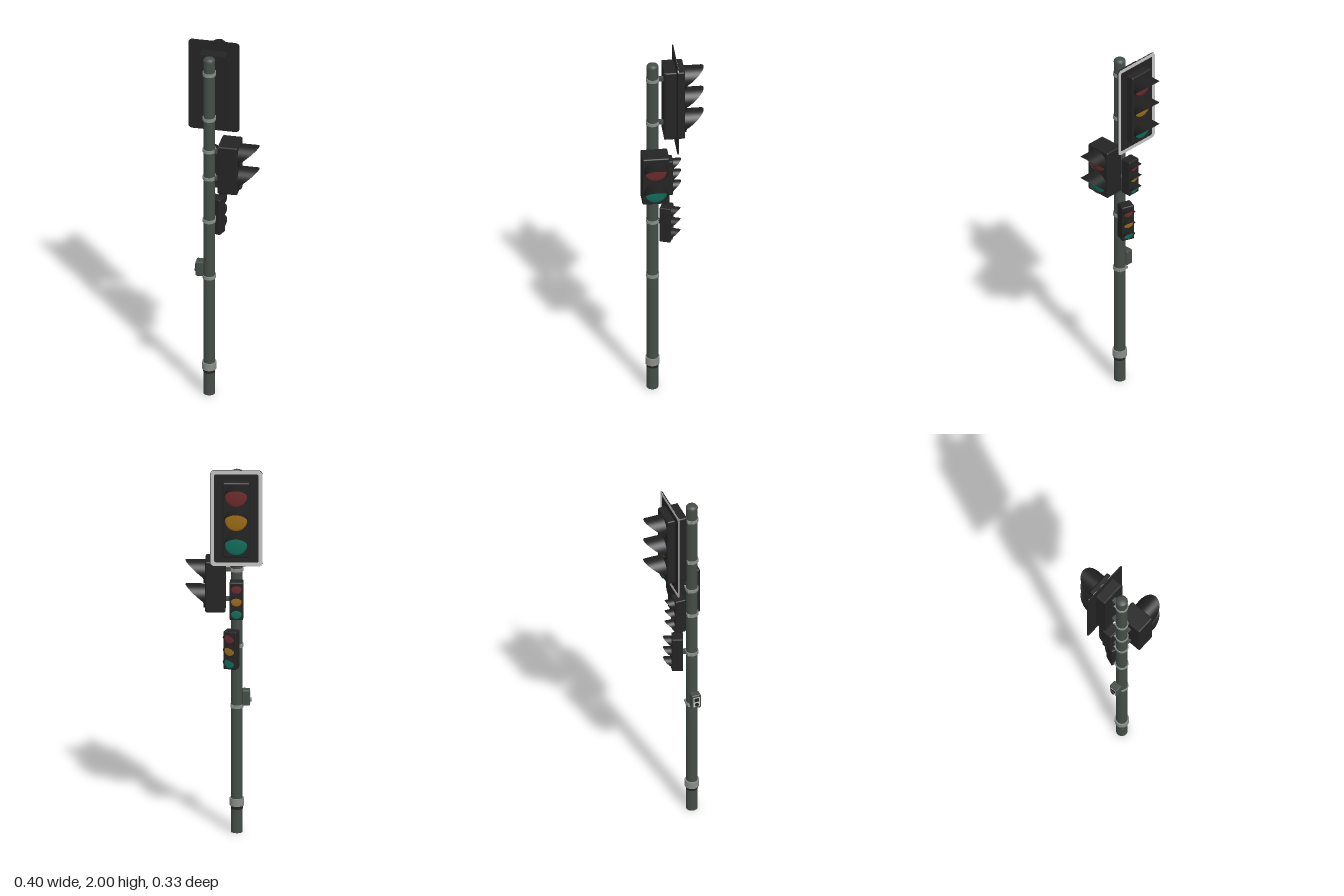
import * as THREE from 'three';
import { RoundedBoxGeometry } from 'three/addons/geometries/RoundedBoxGeometry.js';

const paint = (name, color, side = THREE.FrontSide) => {
  const m = new THREE.MeshStandardMaterial({ color, side });
  m.name = name;
  return m;
};

export function createModel() {
  const mats = {
    pole: paint('poleGreyGreen', 0x454d47),
    housing: paint('housingBlack', 0x242424),
    visor: paint('visorBlack', 0x1f1f20, THREE.DoubleSide),
    metal: paint('clampGrey', 0x8a8d8a),
    border: paint('borderWhite', 0xc4c4c4),
    red: paint('lensRed', 0x6b2a2c),
    amber: paint('lensAmber', 0x9a6a14),
    green: paint('lensGreen', 0x0f6b5a),
  };

  const model = new THREE.Group();
  model.name = 'trafficSignal';
  // everything is placed around the pole axis
  const root = new THREE.Group();
  root.name = 'signalPost';
  root.position.set(-0.065, 0, 0.097);
  model.add(root);

  const add = (parent, name, geo, mat, x = 0, y = 0, z = 0) => {
    const mesh = new THREE.Mesh(geo, mat);
    mesh.name = name;
    mesh.position.set(x, y, z);
    parent.add(mesh);
    return mesh;
  };

  // pole with a domed cap
  const profile = [[0, 0], [0.03, 0], [0.03, 1.945], [0.031, 1.945], [0.031, 1.952],
    [0.026, 1.96], [0.014, 1.965], [0, 1.966]].map(p => new THREE.Vector2(...p));
  const poleGeo = new THREE.LatheGeometry(profile, 32);
  add(root, 'pole', poleGeo, mats.pole);

  // clamp bands
  const band = (name, y, r, h, mat = mats.metal) =>
    add(root, name, new THREE.CylinderGeometry(r, r, h, 32), mat, 0, y, 0);
  for (const y of [1.873, 1.61, 1.425, 1.265, 1.015, 0.685]) {
    band('clampBand', y, 0.034, 0.018);
    for (const s of [-1, 1]) {
      add(root, 'clampScrew', new THREE.BoxGeometry(0.008, 0.014, 0.01), mats.metal, s * 0.024, y, -0.026);
    }
  }
  band('baseCollar', 0.165, 0.037, 0.04);
  band('baseGroove', 0.135, 0.0308, 0.016, mats.housing);

  // visor: a tube whose front end is cut along a slope, longest at the top
  const visorGeo = (r, len, rim) => {
    const g = new THREE.CylinderGeometry(r, r, 1, 48, 1, true);
    g.rotateX(Math.PI / 2);
    const p = g.attributes.position;
    for (let i = 0; i < p.count; i++) {
      const slope = len * (p.getY(i) / r + 0.45) / 1.45;
      p.setZ(i, p.getZ(i) > 0 ? Math.max(rim, slope) : 0);
    }
    return g;
  };

  const lensGeo = (r) => {
    const g = new THREE.SphereGeometry(r, 32, 8, 0, Math.PI * 2, 0, Math.PI / 2);
    g.rotateX(Math.PI / 2);
    g.scale(1, 1, 0.12);
    return g;
  };

  // signal head facing local +z
  const signalHead = (name, o) => {
    const head = new THREE.Group();
    head.name = name;
    head.rotation.y = o.turn;
    root.add(head);
    const h = o.top - o.bottom, mid = (o.top + o.bottom) / 2, depth = o.front - o.back;
    add(head, 'housing', new RoundedBoxGeometry(o.width, h, depth, 3, o.round),
      mats.housing, 0, mid, (o.front + o.back) / 2);
    const geoV = visorGeo(o.visorR, o.visorLen, o.visorLen * 0.1);
    const geoL = lensGeo(o.visorR * 0.92);
    o.lenses.forEach((colour, i) => {
      const y = o.firstLens - i * o.spacing;
      add(head, colour + 'Lens', geoL, mats[colour], 0, y, o.front + 0.001);
      add(head, 'visor', geoV, mats.visor, 0, y, o.front - 0.001);
    });
    for (const y of o.brackets) {
      add(head, 'bracket', new THREE.BoxGeometry(0.025, 0.018, o.back - 0.015),
        mats.pole, 0, y, (o.back + 0.025) / 2);
    }
    return head;
  };

  const large = { width: 0.14, back: 0.057, front: 0.162, round: 0.008,
    visorR: 0.062, visorLen: 0.104, spacing: 0.131 };
  const small = { width: 0.07, back: 0.045, front: 0.104, round: 0.006,
    visorR: 0.03, visorLen: 0.045, spacing: 0.067, lenses: ['red', 'amber', 'green'] };

  const mainHead = signalHead('mainSignal', { ...large, turn: Math.PI, bottom: 1.54, top: 1.945,
    firstLens: 1.873, lenses: ['red', 'amber', 'green'], brackets: [1.873, 1.61] });
  signalHead('pedestrianSignal', { ...large, turn: Math.PI / 2, bottom: 1.21, top: 1.485,
    firstLens: 1.412, lenses: ['red', 'green'], brackets: [1.425, 1.265] });
  signalHead('upperRepeater', { ...small, turn: Math.PI, bottom: 1.18, top: 1.385,
    firstLens: 1.35, brackets: [1.265] });
  signalHead('lowerRepeater', { ...small, turn: Math.PI - 0.35, bottom: 0.91, top: 1.115,
    firstLens: 1.08, brackets: [1.015] });

  // backing board with a pale border on the signal side
  const roundedRect = (Type, w, h, r) => {
    const s = new Type(), x = w / 2, y = h / 2;
    s.moveTo(-x + r, -y);
    s.lineTo(x - r, -y).absarc(x - r, -y + r, r, -Math.PI / 2, 0);
    s.lineTo(x, y - r).absarc(x - r, y - r, r, 0, Math.PI / 2);
    s.lineTo(-x + r, y).absarc(-x + r, y - r, r, Math.PI / 2, Math.PI);
    s.lineTo(-x, -y + r).absarc(-x + r, -y + r, r, Math.PI, Math.PI * 1.5);
    return s;
  };
  const flat = (shape, depth) =>
    new THREE.ExtrudeGeometry(shape, { depth, bevelEnabled: false, curveSegments: 8 });
  add(mainHead, 'backingBoard', flat(roundedRect(THREE.Shape, 0.27, 0.52, 0.022), 0.005),
    mats.housing, 0, 1.74, 0.116);
  const rim = roundedRect(THREE.Shape, 0.268, 0.518, 0.021);
  rim.holes.push(roundedRect(THREE.Path, 0.228, 0.478, 0.008));
  add(mainHead, 'boardBorder', flat(rim, 0.001), mats.border, 0, 1.74, 0.121);
  // raised frame on the rear of the main housing
  const frame = roundedRect(THREE.Shape, 0.138, 0.41, 0.008);
  frame.holes.push(roundedRect(THREE.Path, 0.115, 0.385, 0.006));
  add(mainHead, 'rearFrame', flat(frame, 0.006), mats.housing, 0, 1.742, 0.055);

  // push-button unit facing local +z, turned to -x
  const button = new THREE.Group();
  button.name = 'pushButtonUnit';
  button.rotation.y = -Math.PI / 2;
  button.position.y = 0.732;
  root.add(button);
  add(button, 'buttonBox', new RoundedBoxGeometry(0.05, 0.084, 0.04, 3, 0.006), mats.pole, 0, 0, 0.048);
  add(button, 'buttonMount', new THREE.BoxGeometry(0.025, 0.03, 0.02), mats.pole, 0, 0, 0.026);
  add(button, 'buttonPlate', new THREE.BoxGeometry(0.034, 0.06, 0.002), mats.border, 0, 0, 0.0685);
  add(button, 'buttonPanel', new THREE.BoxGeometry(0.026, 0.022, 0.002), mats.housing, 0, 0.014, 0.07);
  const knob = new THREE.CylinderGeometry(0.01, 0.01, 0.007, 24);
  knob.rotateX(Math.PI / 2);
  add(button, 'pushButton', knob, mats.housing, 0, -0.014, 0.0715);

  return model;
}
